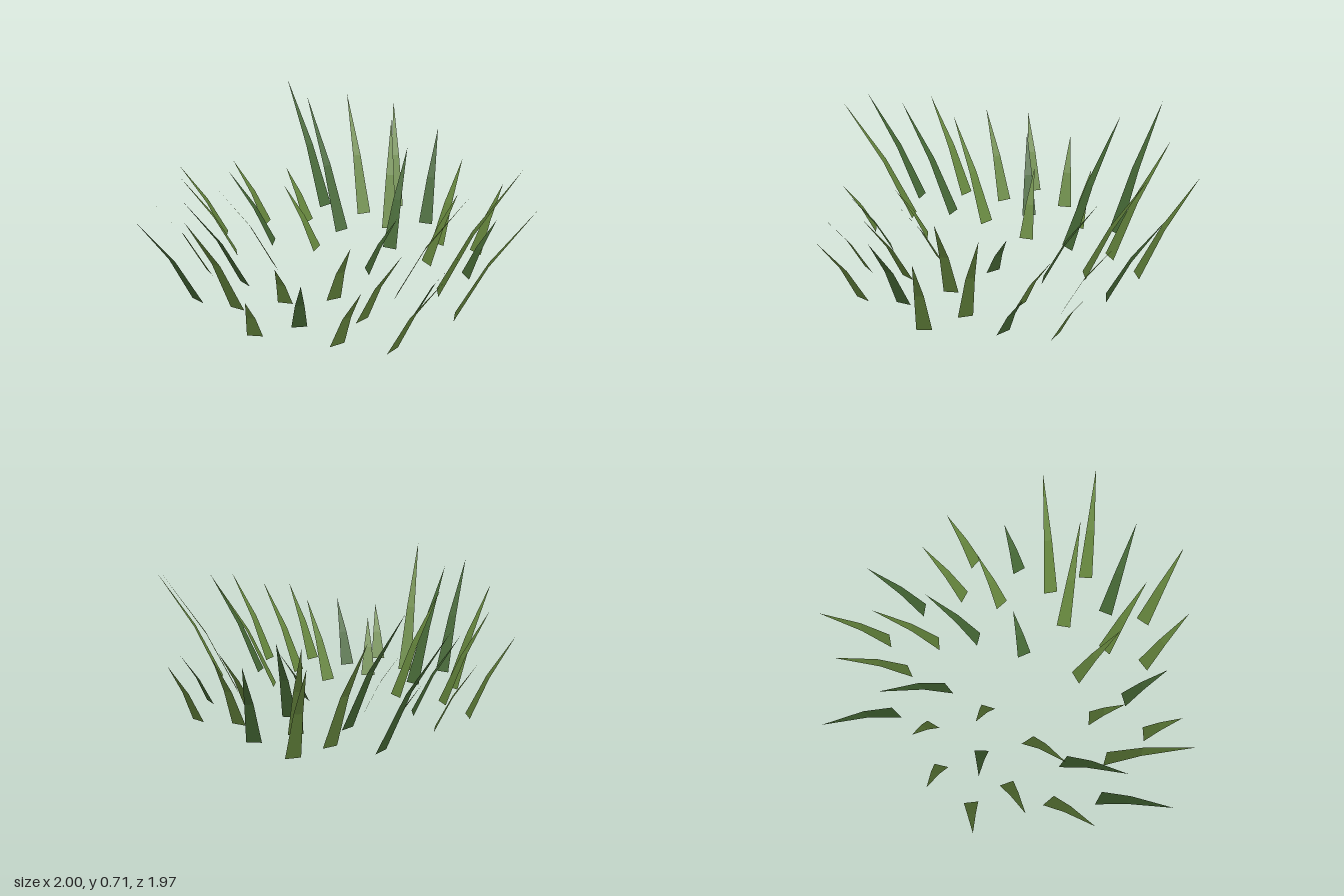
import * as THREE from 'three';

const BASE_WIDTH = 0.08;
const HEIGHT_PER_REACH = 1.81; // every blade has the same lean
const SEGMENTS = 2;

// Each blade: root x, root z, tip x, tip z
const lightBlades = [
  [0.137, -0.685, 0.05, -0.987], [0.145, -0.4, 0.09, -0.71], [-0.037, -0.548, -0.215, -0.857],
  [-0.34, -0.377, -0.49, -0.452], [-0.572, -0.305, -0.778, -0.335], [-0.762, -0.12, -1.0, -0.072],
  [-0.209, -0.078, -0.404, -0.12], [0.452, -0.283, 0.543, -0.51], [0.674, -0.238, 0.789, -0.404],
  [0.422, -0.059, 0.559, -0.211], [0.527, 0.222, 0.908, 0.12], [0.318, 0.313, 0.675, 0.343],
  [0.642, 0.422, 1.0, 0.407], [0.193, 0.559, 0.416, 0.728], [0.008, 0.404, 0.144, 0.605],
  [0.39, 0.773, 0.632, 0.919], [0.12, 0.786, 0.278, 0.97], [-0.227, 0.495, -0.222, 0.664],
  [-0.291, 0.805, -0.27, 0.972], [-0.452, 0.599, -0.532, 0.98], [-0.714, 0.302, -0.933, 0.523],
  [-0.639, 0.064, -0.89, 0.181], [-0.383, 0.16, -0.63, 0.358],
];
const darkBlades = [
  [0.347, -0.508, 0.36, -0.785], [-0.29, -0.593, -0.585, -0.848], [-0.12, -0.313, -0.393, -0.596],
  [-0.468, -0.091, -0.709, -0.072], [0.193, -0.174, 0.233, -0.452], [0.65, 0.024, 0.789, -0.078],
  [0.12, 0.099, 0.265, 0.019], [0.425, 0.553, 0.727, 0.65], [-0.099, 0.684, -0.029, 0.876],
  [-0.676, 0.575, -0.821, 0.889], [-0.489, 0.366, -0.676, 0.662],
];

// Flat strip that tapers to a point and bends towards +z
function bladeGeometry(reach) {
  const geometry = new THREE.PlaneGeometry(BASE_WIDTH, 1, 1, SEGMENTS);
  const p = geometry.attributes.position;
  for (let i = 0; i < p.count; i++) {
    const t = p.getY(i) + 0.5;
    const bend = Math.pow(t, 1.25);
    p.setXYZ(i, p.getX(i) * (1 - bend), t * reach * HEIGHT_PER_REACH, bend * reach);
  }
  geometry.computeVertexNormals();
  return geometry;
}

function addBlades(group, blades, material, name) {
  blades.forEach(([x, z, tipX, tipZ], i) => {
    const dx = tipX - x, dz = tipZ - z;
    const blade = new THREE.Mesh(bladeGeometry(Math.hypot(dx, dz)), material);
    blade.name = `${name}${i + 1}`;
    blade.position.set(x, 0, z);
    blade.rotation.y = Math.atan2(dx, dz);
    group.add(blade);
  });
}

export function createModel() {
  const group = new THREE.Group();
  group.name = 'grassPatch';
  const grass = (color) => new THREE.MeshStandardMaterial({
    color, flatShading: true, side: THREE.DoubleSide,
  });
  addBlades(group, lightBlades, grass(0x64843c), 'lightGrassBlade');
  addBlades(group, darkBlades, grass(0x446634), 'darkGrassBlade');
  return group;
}
